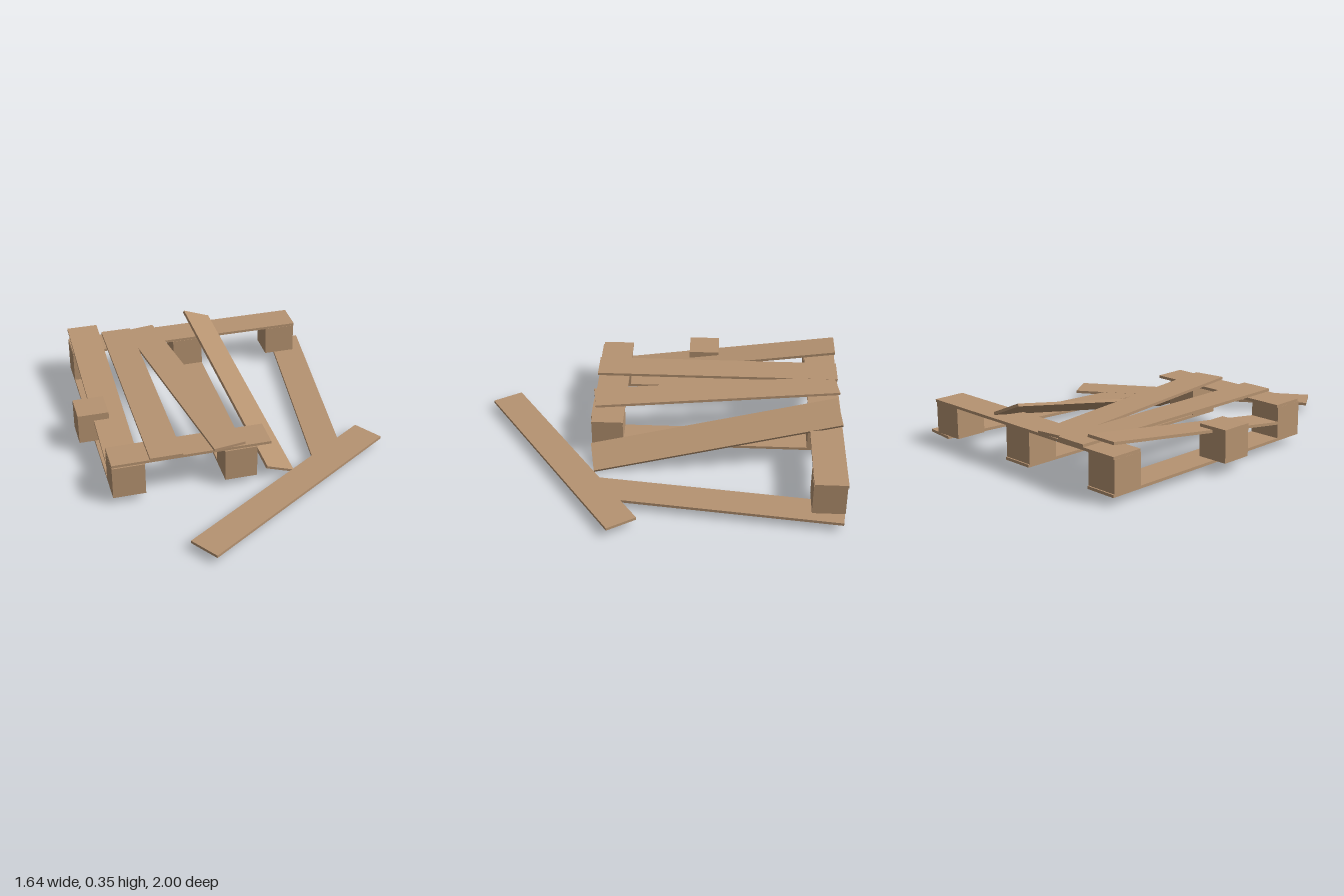
import * as THREE from 'three';

const LENGTH = 1.38, WIDTH = 0.177, THICK = 0.015, BLOCK_H = 0.17;

export function createModel() {
  const model = new THREE.Group();
  model.name = 'brokenPallet';
  const wood = new THREE.MeshStandardMaterial({ color: 0xb69371 });
  wood.name = 'wood';

  // box centred at the given position
  function box(name, [w, h, d], [x, y, z]) {
    const mesh = new THREE.Mesh(new THREE.BoxGeometry(w, h, d), wood);
    mesh.name = name;
    mesh.position.set(x, y, z);
    model.add(mesh);
    return mesh;
  }
  // full-length plank running along z
  const plank = (name, x, y, z = -0.31) => box(name, [WIDTH, THICK, LENGTH], [x, y, z]);

  // bottom runners, the last one knocked askew
  plank('leftRunner', -0.645, 0.0475);
  plank('middleRunner', -0.035, 0.0475);
  plank('skewedRunner', 0.548, 0.047, -0.305).rotation.y = -0.116;

  // spacer blocks still in place
  const blocks = [[-0.645, -0.905], [-0.035, -0.905], [0.55, -0.905], [-0.645, 0.293], [-0.035, 0.293]];
  for (const [x, z] of blocks) {
    box('block', [WIDTH, BLOCK_H, WIDTH - 0.003], [x, 0.14, z]);
  }
  // block pushed out of line
  box('displacedBlock', [0.173, 0.174, 0.173], [-0.735, 0.148, -0.227]);

  // cross beams, the front one snapped short
  box('backBeam', [1.375, THICK, WIDTH], [-0.045, 0.2325, -0.908]);
  box('frontBeam', [0.865, THICK, WIDTH - 0.003], [-0.3, 0.2325, 0.285]);

  // deck planks
  plank('deckPlank', -0.44, 0.2475);
  plank('skewedDeckPlank', -0.197, 0.247).rotation.y = 0.147;
  plank('raisedDeckPlank', -0.645, 0.21).rotation.x = 0.138;

  // loose plank lying on the ground
  const loose = box('loosePlank', [LENGTH, THICK, WIDTH], [0.195, 0.0475, 0.541]);
  loose.rotation.y = 0.584;

  // fallen plank leaning across the back beam, twisted on its length
  const fallen = plank('fallenPlank', 0.124, 0.172);
  const along = new THREE.Vector3(0.128, -0.26, 1.345).normalize();
  const across = new THREE.Vector3(0.165, -0.075, -0.025);
  across.addScaledVector(along, -across.dot(along)).normalize();
  const up = new THREE.Vector3().crossVectors(along, across);
  fallen.quaternion.setFromRotationMatrix(new THREE.Matrix4().makeBasis(across, up, along));

  return model;
}
